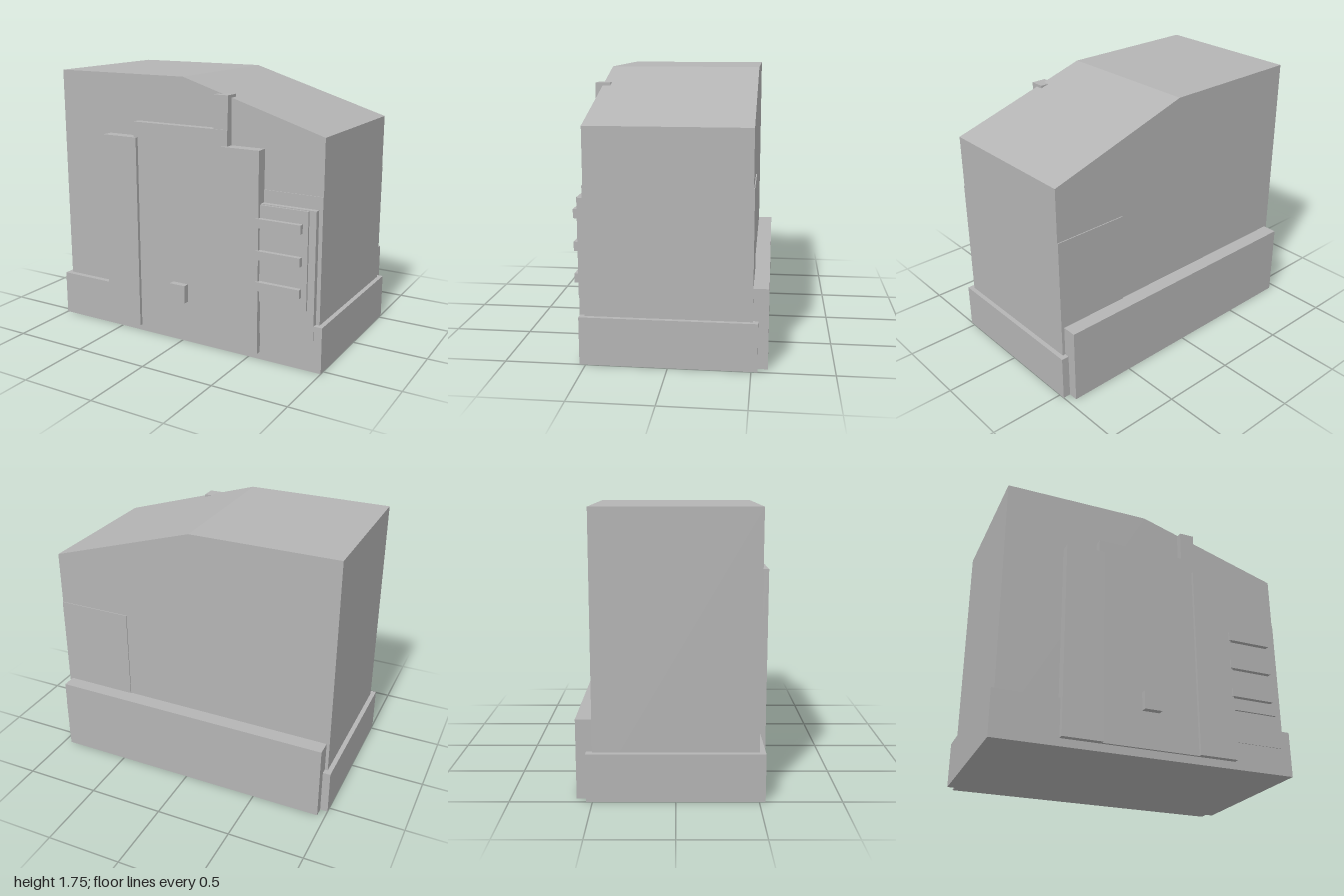
import * as THREE from 'three';

export function createModel() {
  const model = new THREE.Group();
  model.name = 'building';
  const grey = new THREE.MeshStandardMaterial({ color: 0xb4b4b4 });
  grey.name = 'grey';

  // Box given by its limits on each axis
  const box = (name, [x0, x1], [y0, y1], [z0, z1]) => {
    const mesh = new THREE.Mesh(new THREE.BoxGeometry(x1 - x0, y1 - y0, z1 - z0), grey);
    mesh.position.set((x0 + x1) / 2, (y0 + y1) / 2, (z0 + z1) / 2);
    mesh.name = name;
    model.add(mesh);
  };

  // Main body: flat roof on one half, sloping on the other
  const profile = new THREE.Shape([
    [-0.97, 0.02], [0.97, 0.02], [0.97, 1.45], [0, 1.75], [-0.97, 1.75],
  ].map(([x, y]) => new THREE.Vector2(x, y)));
  const bodyGeometry = new THREE.ExtrudeGeometry(profile, { depth: 1, bevelEnabled: false });
  bodyGeometry.translate(0, 0, -0.5);
  const body = new THREE.Mesh(bodyGeometry, grey);
  body.name = 'body';
  model.add(body);

  // Plinth and the taller step along the back
  box('plinth', [-1, 1], [0, 0.3], [-0.538, 0.538]);
  box('backStep', [-0.95, 0.95], [0, 0.5], [-0.6, -0.45]);

  // Front door panel, flanking pillars and knob
  box('doorPanel', [-0.35, 0.35], [0.05, 1.45], [0.45, 0.555]);
  for (const side of [-1, 1]) {
    const xs = [0.32 * side, 0.58 * side].sort((a, b) => a - b);
    box(side < 0 ? 'rightPillar' : 'leftPillar', xs, [0.05, 1.35], [0.45, 0.577]);
  }
  box('knob', [-0.06, 0.055], [0.29, 0.41], [0.5, 0.597]);

  // Post above the door with a cap running back into the roof
  box('post', [0.25, 0.35], [1.4, 1.66], [0.48, 0.548]);
  box('postCap', [0.25, 0.35], [1.64, 1.66], [0.45, 0.548]);

  // Cladding around the side bay, visible at front and back
  box('bayCladding', [0.47, 0.97], [0.02, 1.1], [-0.506, 0.506]);

  // Stepped vent with three slats
  box('ventFrame', [0.5, 0.945], [0.18, 1.02], [0.48, 0.542]);
  box('ventPanel', [0.5, 0.9], [0.395, 1.015], [0.5, 0.556]);
  for (const y of [0.475, 0.675, 0.878]) {
    box('ventSlat', [0.567, 0.865], [y, y + 0.057], [0.5, 0.588]);
  }

  return model;
}
